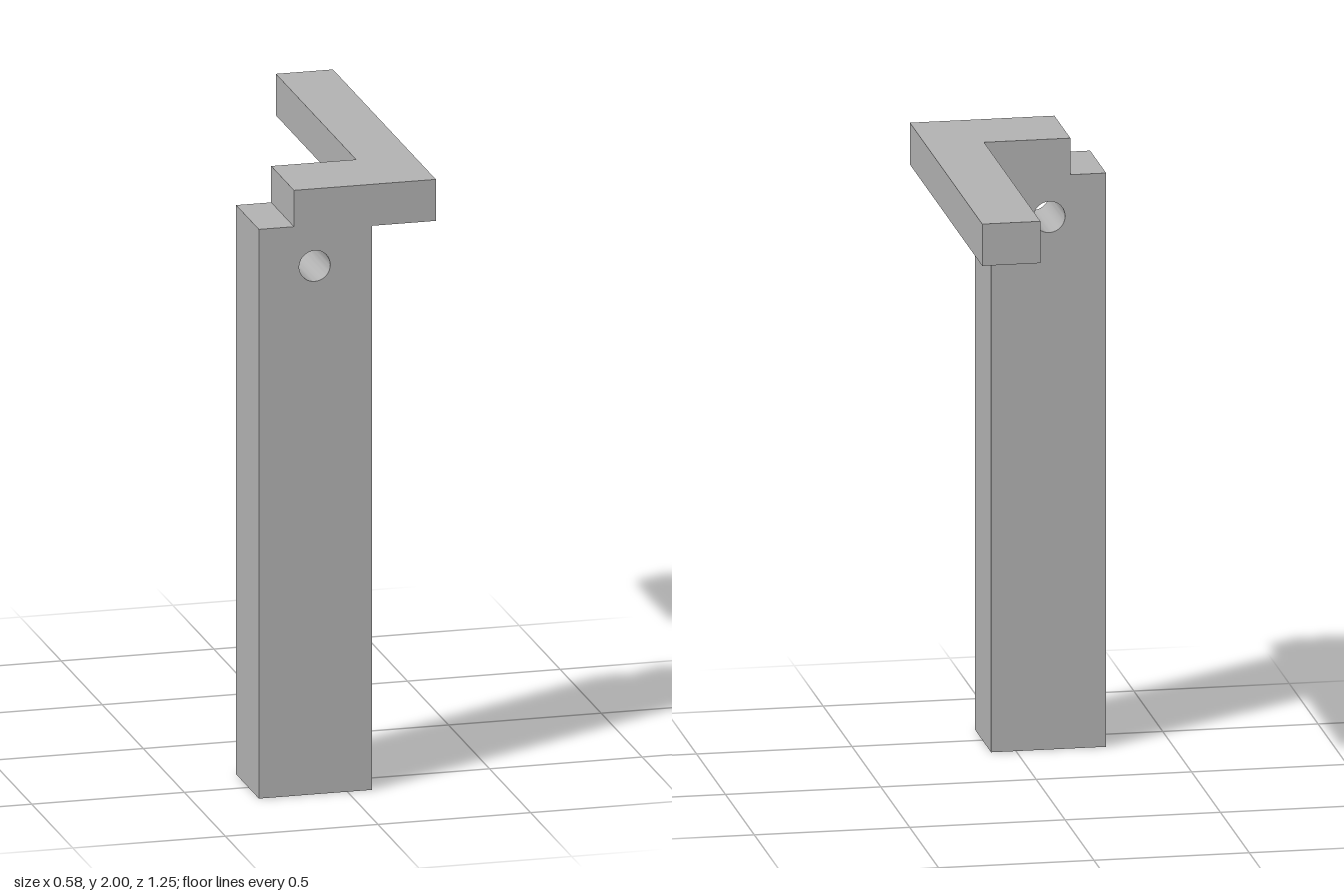
import * as THREE from 'three';
import { toCreasedNormals } from 'three/addons/utils/BufferGeometryUtils.js';

const BACK = 0.35, FRONT = 0.627; // depth range of the post
const TOP = 2, ARM_BOTTOM = 1.863;
const RIGHT = -0.29, LEFT = 0.29;

export function createModel() {
  const group = new THREE.Group();
  const grey = new THREE.MeshStandardMaterial({ color: 0xb2b2b2 });
  grey.name = 'grey';

  // Upright post with a notched shoulder, side lug and through hole
  const profile = new THREE.Shape([
    [RIGHT, 0], [0.08, 0], [0.08, ARM_BOTTOM], [LEFT, ARM_BOTTOM],
    [LEFT, TOP], [-0.175, TOP], [-0.175, 1.88], [RIGHT, 1.88],
  ].map(([x, y]) => new THREE.Vector2(x, y)));
  const hole = new THREE.Path();
  hole.absarc(-0.107, 1.745, 0.051, 0, Math.PI * 2, true);
  profile.holes.push(hole);
  const postGeometry = new THREE.ExtrudeGeometry(profile, {
    depth: FRONT - BACK, bevelEnabled: false, curveSegments: 24,
  });
  postGeometry.translate(0, 0, BACK);
  const post = new THREE.Mesh(toCreasedNormals(postGeometry, 0.6), grey);
  post.name = 'post';
  group.add(post);

  // Long arm running backwards from the lug
  const armRight = 0.103;
  const arm = new THREE.Mesh(
    new THREE.BoxGeometry(LEFT - armRight, TOP - ARM_BOTTOM, BACK + FRONT), grey);
  arm.position.set((LEFT + armRight) / 2, (TOP + ARM_BOTTOM) / 2, (BACK - FRONT) / 2);
  arm.name = 'arm';
  group.add(arm);

  return group;
}
